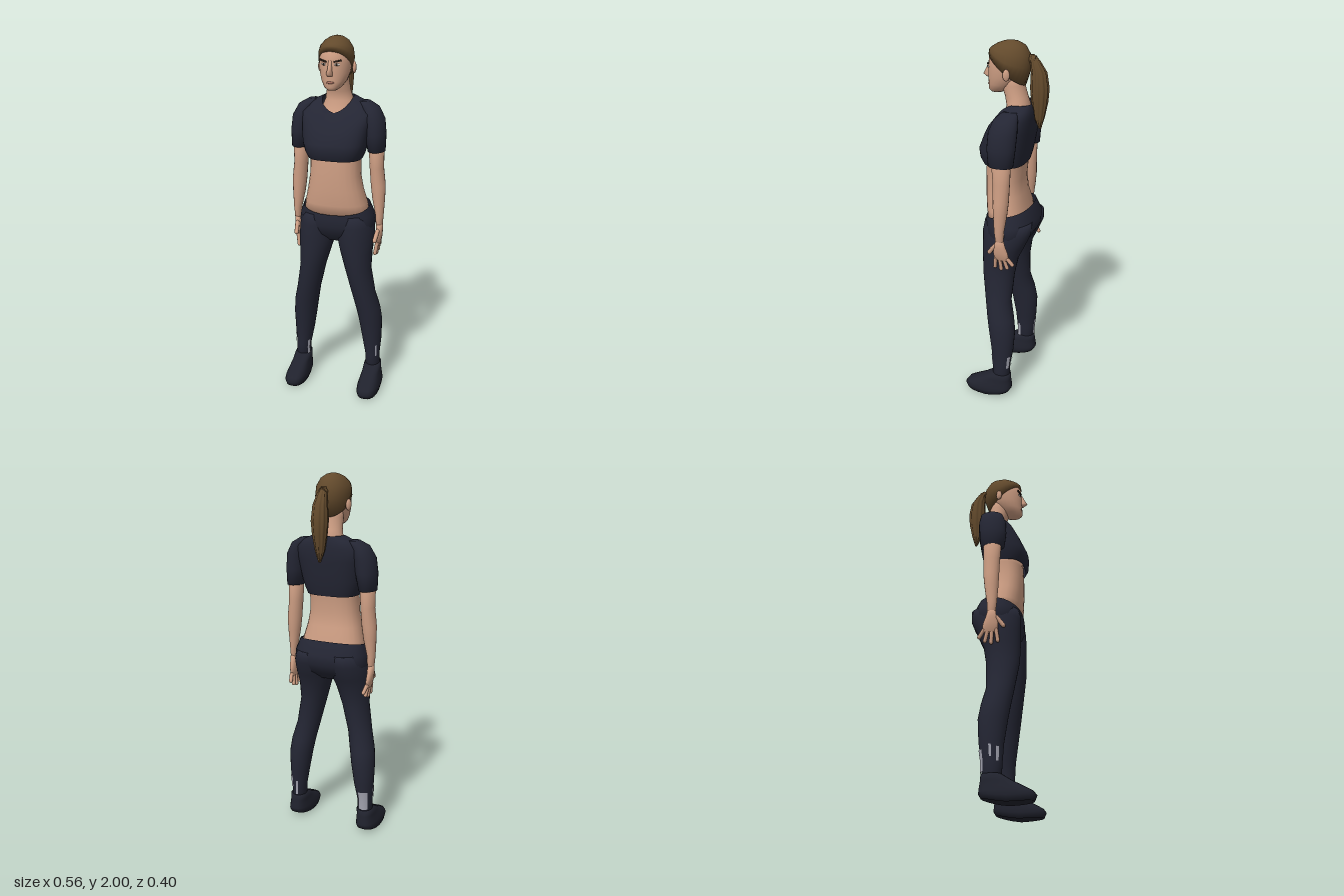
import * as THREE from 'three';

const mat = (name, color, side = THREE.FrontSide) => {
  const m = new THREE.MeshStandardMaterial({ color, side });
  m.name = name;
  return m;
};

// Smooth skin over horizontal rings, listed bottom to top:
// [y, centreX, halfWidth, frontZ, backZ, frontLift, backLift]
function loft(rings, { n = 24, e = 1, vee = false, caps = true, arc = null, ripple = 0 } = {}) {
  const pos = [], idx = [], cols = arc ? n + 1 : n;
  const [a0, a1] = arc || [0, Math.PI * 2];
  const pw = (v) => Math.sign(v) * Math.pow(Math.abs(v), e);
  for (const [y, cx, rx, zf, zb, fl = 0, bl = 0] of rings) {
    for (let j = 0; j < cols; j++) {
      const t = a0 + (a1 - a0) * j / n, c = Math.cos(t), s = Math.sin(t);
      const k = 1 + ripple * Math.cos(t * 10);
      const w = vee ? Math.asin(Math.abs(s)) / (Math.PI / 2) : Math.abs(s);
      pos.push(cx + rx * k * pw(c), y + w * (s > 0 ? fl : bl), (zf + zb) / 2 + (zf - zb) / 2 * k * pw(s));
    }
  }
  for (let i = 0; i < rings.length - 1; i++) {
    for (let j = 0; j < n; j++) {
      const a = i * cols + j, b = i * cols + (j + 1) % cols;
      idx.push(a, a + cols, b, b, a + cols, b + cols);
    }
  }
  if (caps && !arc) {
    [0, rings.length - 1].forEach((r, top) => {
      const [y, cx, , zf, zb, fl = 0, bl = 0] = rings[r], m = pos.length / 3;
      pos.push(cx, y + (fl + bl) / 2, (zf + zb) / 2);
      for (let j = 0; j < n; j++) {
        const a = r * cols + j, b = r * cols + (j + 1) % cols;
        top ? idx.push(a, m, b) : idx.push(a, b, m);
      }
    });
  }
  const g = new THREE.BufferGeometry();
  g.setAttribute('position', new THREE.Float32BufferAttribute(pos, 3));
  g.setIndex(idx);
  g.computeVertexNormals();
  return g;
}

export function createModel() {
  const root = new THREE.Group();
  root.name = 'standingWoman';
  const skin = mat('skin', 0xcf9f84);
  const cloth = mat('darkCloth', 0x242634, THREE.DoubleSide);
  const shoeMat = mat('shoe', 0x20222d);
  const hair = mat('hair', 0x634a2c, THREE.DoubleSide);
  const sock = mat('sock', 0xa3a4b0, THREE.DoubleSide);
  const white = mat('eyeWhite', 0xe2dcd6);
  const dark = mat('browAndIris', 0x2c2019);
  const lip = mat('lips', 0xad7464);

  const add = (name, geo, m, parent = root) => {
    const mesh = new THREE.Mesh(geo, m);
    mesh.name = name;
    parent.add(mesh);
    return mesh;
  };
  const blob = (name, m, parent, p, s, ry = 0) => {
    const b = add(name, new THREE.SphereGeometry(1, 14, 10), m, parent);
    b.position.set(...p);
    b.scale.set(...s);
    b.rotation.y = ry;
    return b;
  };
  const finger = (name, a, b, r, parent) => {
    const A = new THREE.Vector3(...a), B = new THREE.Vector3(...b), d = B.clone().sub(A);
    const f = add(name, new THREE.CapsuleGeometry(r, d.length() - r, 3, 8), skin, parent);
    f.position.copy(A).lerp(B, 0.5);
    f.quaternion.setFromUnitVectors(new THREE.Vector3(0, 1, 0), d.normalize());
  };

  // Torso
  add('midriff', loft([
    [1.04, 0, 0.185, 0.105, -0.11], [1.12, 0, 0.172, 0.118, -0.106], [1.2, 0, 0.152, 0.123, -0.082],
    [1.28, 0, 0.138, 0.125, -0.075], [1.36, 0, 0.137, 0.123, -0.083], [1.42, 0, 0.14, 0.12, -0.09],
  ], { e: 0.85 }), skin);
  add('neck', loft([
    [1.55, 0, 0.1, 0.07, -0.1], [1.61, 0, 0.098, 0.047, -0.1], [1.67, 0, 0.076, 0.02, -0.105],
    [1.72, 0, 0.064, 0.03, -0.088], [1.78, 0, 0.06, 0.05, -0.072], [1.84, 0, 0.06, 0.06, -0.07],
  ]), skin);
  add('cropTop', loft([
    [1.37, 0, 0.143, 0.132, -0.09], [1.405, 0, 0.158, 0.149, -0.1], [1.455, 0, 0.172, 0.153, -0.11],
    [1.56, 0, 0.185, 0.12, -0.127, -0.04], [1.625, 0, 0.188, 0.092, -0.13, -0.06],
    [1.665, 0, 0.14, 0.068, -0.125, -0.07], [1.69, 0, 0.083, 0.054, -0.115, -0.08],
  ], { e: 0.72, vee: true, caps: false, n: 32 }), cloth);

  // Hips
  add('waistOfLeggings', loft([
    [0.905, 0, 0.1, 0.06, -0.07], [0.95, 0, 0.19, 0.105, -0.125], [1.0, 0, 0.214, 0.122, -0.152],
    [1.055, 0, 0.205, 0.123, -0.157, -0.01], [1.11, 0, 0.186, 0.12, -0.122, -0.04, 0.02],
  ], { e: 0.85, caps: false }), cloth);

  // Head
  const head = new THREE.Group();
  head.name = 'head';
  root.add(head);
  add('face', loft([
    [1.735, 0, 0.024, 0.108, 0.05], [1.75, 0, 0.045, 0.122, 0.01], [1.78, 0, 0.065, 0.12, -0.03],
    [1.82, 0, 0.078, 0.121, -0.06], [1.87, 0, 0.084, 0.12, -0.08], [1.92, 0, 0.084, 0.115, -0.09],
    [1.96, 0, 0.068, 0.083, -0.08], [1.98, 0, 0.04, 0.05, -0.05],
  ]), skin, head);
  add('nose', loft([
    [1.808, 0, 0.015, 0.132, 0.1], [1.822, 0, 0.016, 0.153, 0.1], [1.845, 0, 0.011, 0.14, 0.1], [1.885, 0, 0.009, 0.121, 0.1],
  ], { n: 10 }), skin, head);
  blob('mouth', lip, head, [0, 1.776, 0.118], [0.022, 0.006, 0.005]);
  for (const s of [1, -1]) {
    blob('ear', skin, head, [s * 0.091, 1.842, -0.005], [0.011, 0.03, 0.018], s * 0.3);
    blob('eye', white, head, [s * 0.035, 1.866, 0.111], [0.015, 0.006, 0.005], s * 0.3);
    blob('iris', dark, head, [s * 0.034, 1.866, 0.114], [0.006, 0.006, 0.004], s * 0.3);
    const brow = add('eyebrow', new THREE.BoxGeometry(0.042, 0.008, 0.008), dark, head);
    brow.position.set(s * 0.038, 1.883, 0.111);
    brow.rotation.set(0, s * 0.35, s * 0.2);
  }

  // Hair swept back into a ponytail
  add('hairCap', loft([
    [1.855, 0, 0.088, 0.117, -0.077, 0.08, -0.075], [1.9, 0, 0.091, 0.113, -0.106, 0.055, -0.03],
    [1.94, 0, 0.084, 0.1, -0.1, 0.025, -0.01], [1.975, 0, 0.06, 0.07, -0.075, 0.008],
    [1.994, 0, 0.032, 0.04, -0.04], [2.0, 0, 0.008, 0.012, -0.008],
  ], { n: 28 }), hair, head);
  add('ponytail', loft([
    [1.56, 0, 0.006, -0.15, -0.162], [1.62, 0, 0.024, -0.125, -0.178], [1.7, 0, 0.036, -0.112, -0.193],
    [1.77, 0, 0.042, -0.106, -0.198], [1.85, 0, 0.036, -0.108, -0.185], [1.905, 0, 0.024, -0.1, -0.15],
    [1.935, 0, 0.012, -0.092, -0.122],
  ], { n: 40, ripple: 0.08 }), hair, head);
  const tie = add('ponytailBase', new THREE.CylinderGeometry(0.02, 0.02, 0.045, 12), hair, head);
  tie.position.set(0, 1.912, -0.108);
  tie.rotation.x = Math.PI / 2;

  for (const s of [1, -1]) {
    const side = s > 0 ? 'left' : 'right';
    const limb = new THREE.Group();
    limb.name = side + 'Limbs';
    root.add(limb);
    const rings = (list) => list.map(([y, cx, ...r]) => [y, s * cx, ...r]);

    // Arm, sleeve and hand
    add(side + 'Sleeve', loft(rings([
      [1.41, 0.213, 0.046, 0.046, -0.086], [1.5, 0.205, 0.057, 0.055, -0.095], [1.58, 0.195, 0.058, 0.05, -0.1],
      [1.64, 0.172, 0.048, 0.03, -0.095], [1.668, 0.14, 0.03, 0, -0.08],
    ])), cloth, limb);
    add(side + 'Arm', loft(rings([
      [0.975, 0.236, 0.017, 0, -0.042], [1.05, 0.237, 0.022, 0.008, -0.045], [1.15, 0.229, 0.035, 0.015, -0.06],
      [1.22, 0.225, 0.04, 0.018, -0.067], [1.32, 0.215, 0.038, 0.021, -0.07], [1.45, 0.212, 0.042, 0.03, -0.075],
    ]), { n: 16 }), skin, limb);
    add(side + 'Palm', loft(rings([
      [0.885, 0.23, 0.011, 0.012, -0.072], [0.93, 0.235, 0.017, 0.016, -0.066], [0.965, 0.237, 0.018, 0.008, -0.052],
      [1.0, 0.237, 0.018, 0.003, -0.043],
    ]), { n: 14 }), skin, limb);
    [[0.003, 0.012, 0.832], [-0.018, -0.024, 0.823], [-0.04, -0.058, 0.833], [-0.06, -0.09, 0.857]].forEach(([z0, z1, y]) =>
      finger(side + 'Finger', [s * 0.232, 0.9, z0], [s * 0.222, y, z1], 0.0105, limb));
    finger(side + 'Thumb', [s * 0.234, 0.97, 0.004], [s * 0.226, 0.915, 0.045], 0.012, limb);

    // Legging and shoe
    add(side + 'Legging', loft(rings([
      [0.1, 0.215, 0.042, 0.03, -0.065], [0.2, 0.212, 0.041, 0.035, -0.07], [0.3, 0.206, 0.055, 0.042, -0.085],
      [0.42, 0.197, 0.066, 0.06, -0.092], [0.5, 0.185, 0.069, 0.073, -0.08], [0.6, 0.162, 0.067, 0.09, -0.057],
      [0.75, 0.131, 0.073, 0.114, -0.065], [0.85, 0.118, 0.09, 0.118, -0.082], [0.92, 0.111, 0.102, 0.12, -0.115],
      [1.0, 0.107, 0.102, 0.12, -0.15], [1.06, 0.1, 0.09, 0.11, -0.152],
    ])), cloth, limb);
    add(side + 'Shoe', loft(rings([
      [0, 0.219, 0.056, 0.188, -0.068, 0.008, 0.025], [0.03, 0.219, 0.062, 0.2, -0.08, 0.005, 0.015],
      [0.055, 0.218, 0.06, 0.185, -0.08], [0.08, 0.217, 0.054, 0.14, -0.077], [0.105, 0.216, 0.049, 0.09, -0.073],
      [0.14, 0.215, 0.046, 0.035, -0.07],
    ]), { e: 0.75 }), shoeMat, limb);

    // Pale sock patches showing at the ankle: [lowY, highY, startAngle, endAngle] in half turns
    const patches = s > 0
      ? [[0.2, 0.27, 0.24, 0.3], [0.15, 0.24, 1.4, 1.48], [0.19, 0.27, 1.62, 1.75]]
      : [[0.14, 0.23, 0.12, 0.24], [0.2, 0.27, 0.76, 0.84], [0.22, 0.28, 0.97, 1.03], [0.15, 0.26, 1.24, 1.6]];
    for (const [lo, hi, a, b] of patches) {
      const band = [lo, (lo + hi) / 2, hi].map((y) => {
        const k = Math.max(0, y - 0.2) * 10;
        return [y, 0.212 - k * 0.006, 0.046 + k * 0.013, 0.039 + k * 0.007, -0.074 - k * 0.015];
      });
      add(side + 'SockPatch', loft(rings(band), { n: 6, arc: [a * Math.PI, b * Math.PI] }), sock, limb);
    }
  }
  return root;
}
